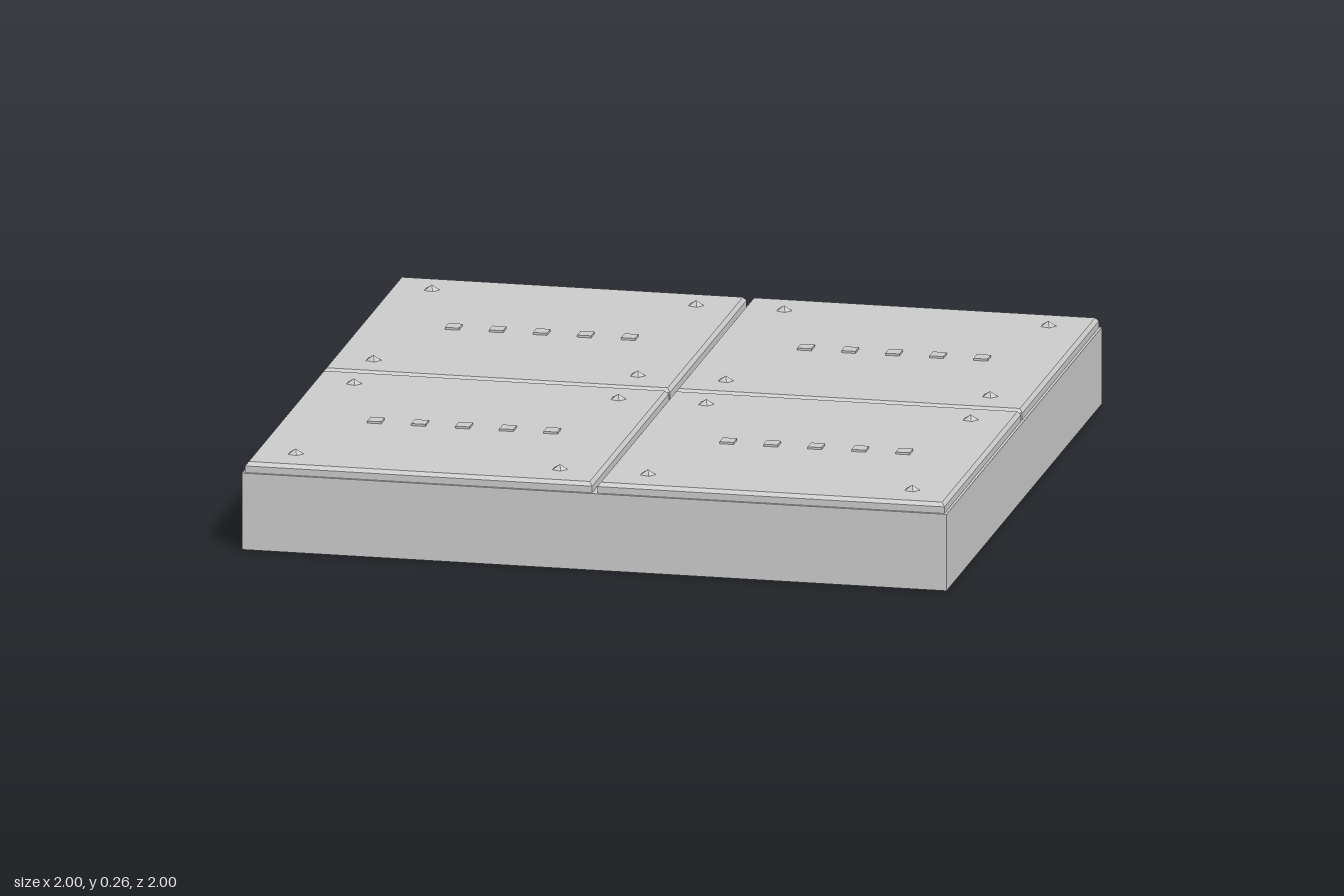
import * as THREE from 'three';

export function createModel() {
  const group = new THREE.Group();
  const material = new THREE.MeshStandardMaterial({ color: 0xcccccc, flatShading: true });

  const add = (parent, name, geometry, x, y, z) => {
    const mesh = new THREE.Mesh(geometry, material);
    mesh.name = name;
    mesh.position.set(x, y, z);
    parent.add(mesh);
    return mesh;
  };

  // Solid slab under the four plates
  const BASE = 0.22;
  const TOP = 0.25;
  add(group, 'base', new THREE.BoxGeometry(2, BASE, 2), 0, BASE / 2, 0);

  // Square plate with a chamfered rim: a four-sided lathe of [half width, height]
  const profile = [[0, 0], [0.4925, 0], [0.4925, 0.019], [0.484, 0.03], [0, 0.03]];
  const plateGeometry = new THREE.LatheGeometry(
    profile.map(([half, y]) => new THREE.Vector2(half * Math.SQRT2, y)), 4, Math.PI / 4);

  // Five-sided pointed rivet head, one corner towards +x
  const rivetGeometry = new THREE.ConeGeometry(0.023, 0.014, 5);
  rivetGeometry.rotateY(Math.PI / 2);

  const studGeometry = new THREE.BoxGeometry(0.04, 0.012, 0.045);

  for (const sx of [-1, 1]) {
    for (const sz of [-1, 1]) {
      const panel = new THREE.Group();
      panel.name = 'panel';
      panel.position.set(sx * 0.5, 0, sz * 0.5);
      group.add(panel);

      add(panel, 'plate', plateGeometry, 0, BASE, 0);

      // A rivet near each corner
      for (const rx of [-1, 1]) {
        for (const rz of [-1, 1]) {
          add(panel, 'rivet', rivetGeometry, rx * 0.375, TOP + 0.007, rz * 0.375);
        }
      }

      // Row of five low studs across the middle
      for (let i = -2; i <= 2; i++) {
        add(panel, 'stud', studGeometry, 0.02 + i * 0.125, TOP, 0);
      }
    }
  }
  return group;
}
